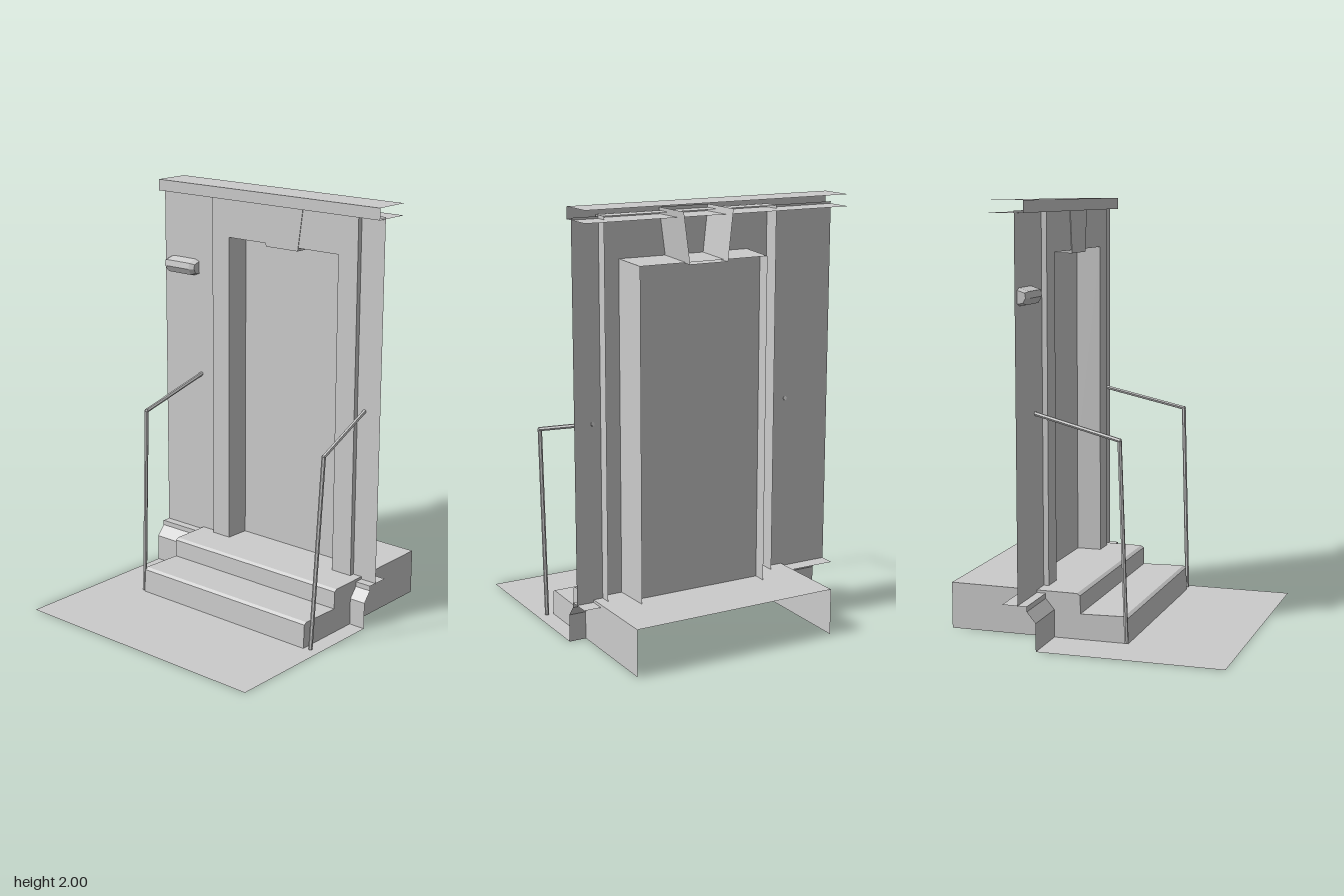
import * as THREE from 'three';

const material = new THREE.MeshStandardMaterial({ color: 0xcccccc, flatShading: true, side: THREE.DoubleSide });

export function createModel() {
  const group = new THREE.Group();

  const add = (name, geometry) => {
    const mesh = new THREE.Mesh(geometry, material);
    mesh.name = name;
    group.add(mesh);
    return mesh;
  };

  // Open sheet joining rows of points, each row of equal length
  const loft = (name, rows) => {
    const pos = [];
    for (let i = 0; i + 1 < rows.length; i++) {
      for (let j = 0; j + 1 < rows[i].length; j++) {
        const [a, b, c, d] = [rows[i][j], rows[i][j + 1], rows[i + 1][j + 1], rows[i + 1][j]];
        pos.push(...a, ...b, ...c, ...a, ...c, ...d);
      }
    }
    const g = new THREE.BufferGeometry();
    g.setAttribute('position', new THREE.Float32BufferAttribute(pos, 3));
    g.computeVertexNormals();
    return add(name, g);
  };

  // Sheet made by sweeping an (x, y) profile along z
  const sweep = (name, profile, z0, z1) =>
    loft(name, [z0, z1].map(z => profile.map(([x, y]) => [x, y, z])));

  // Flat end cap of an (x, y) profile
  const cap = (name, profile, z) => {
    const shape = new THREE.Shape(profile.map(p => new THREE.Vector2(...p)));
    add(name, new THREE.ShapeGeometry(shape)).position.z = z;
  };

  // Pavement, wall plinth with a ledge running under the wall, and cornice
  const W = 0.67;
  sweep('pavement', [[-0.69, 0], [0.18, 0]], -W, W);
  sweep('plinth', [[0.18, 0], [0.18, 0.13], [0.222, 0.18], [0.222, 0.204], [0.34, 0.204]], -W, W);
  sweep('cornice', [[0.403, 1.945], [0.222, 1.945], [0.222, 2], [0.403, 2]], -W, W);

  // Steps and landing, open underneath and behind
  const steps = [[-0.177, 0], [-0.172, 0.115], [-0.157, 0.125], [0.053, 0.12], [0.055, 0.205], [0.07, 0.215], [0.69, 0.22]];
  sweep('steps', steps, -0.425, 0.587);
  for (const z of [-0.425, 0.587]) cap('stepSide', [...steps, [0.69, 0]], z);

  // Wall panels either side of the doorway
  sweep('wallPanel', [[0.265, 0.2], [0.265, 1.955]], -W, -0.334);
  sweep('wallPanel', [[0.265, 0.2], [0.265, 1.955]], 0.54, W);

  // Door surround standing proud of the wall, open behind: outer side, face, deep jamb
  const arch = (x, y0, top, zMin, zMax) => [[x, y0, zMin], [x, top, zMin], [x, top, zMax], [x, y0, zMax]];
  loft('doorSurround', [
    arch(0.32, 0.175, 1.96, -0.334, 0.54),
    arch(0.24, 0.175, 1.96, -0.334, 0.54),
    arch(0.24, 0.175, 1.76, -0.228, 0.43),
    arch(0.426, 0.175, 1.75, -0.221, 0.423),
  ]);
  sweep('door', [[0.36, 0.2], [0.36, 1.753]], -0.223, 0.425);

  // Tapered keystone, open at the top and back
  const key = x => [[x, 1.975, -0.021], [x, 1.745, 0.005], [x, 1.745, 0.196], [x, 1.975, 0.228]];
  loft('keystoneSides', [key(0.237), key(0.46)]);
  const [k0, k1, k2, k3] = key(0.237);
  loft('keystoneFace', [[k0, k1], [k3, k2]]);

  // Wall lamp with tapered ends
  const lamp = [[0.265, 1.54], [0.23, 1.545], [0.213, 1.575], [0.218, 1.605], [0.265, 1.62]];
  const lampAt = s => lamp.map(([x, y]) => [0.265 + (x - 0.265) * s, 1.58 + (y - 1.58) * s]);
  loft('wallLamp', [
    [-0.64, 0.75], [-0.615, 1], [-0.47, 1], [-0.445, 0.75],
  ].map(([z, s]) => lampAt(s).map(([x, y]) => [x, y, z])));
  for (const z of [-0.64, -0.445]) cap('wallLampEnd', lampAt(0.75), z);

  // Bent handrails from the wall down to the pavement
  const rail = points => {
    const p = points.map(q => new THREE.Vector3(...q));
    for (let i = 0; i < 2; i++) {
      const dir = p[i + 1].clone().sub(p[i]);
      const bar = add('handrail', new THREE.CylinderGeometry(0.01, 0.01, dir.length(), 6));
      bar.position.copy(p[i]).addScaledVector(dir, 0.5);
      bar.quaternion.setFromUnitVectors(new THREE.Vector3(0, 1, 0), dir.normalize());
    }
    add('handrailElbow', new THREE.SphereGeometry(0.011, 6, 4)).position.copy(p[1]);
  };
  rail([[0.268, 1.04, -0.432], [-0.137, 0.935, -0.432], [-0.17, 0.005, -0.432]]);
  rail([[0.268, 1.04, 0.58], [-0.137, 0.935, 0.655], [-0.17, 0.005, 0.623]]);

  return group;
}
